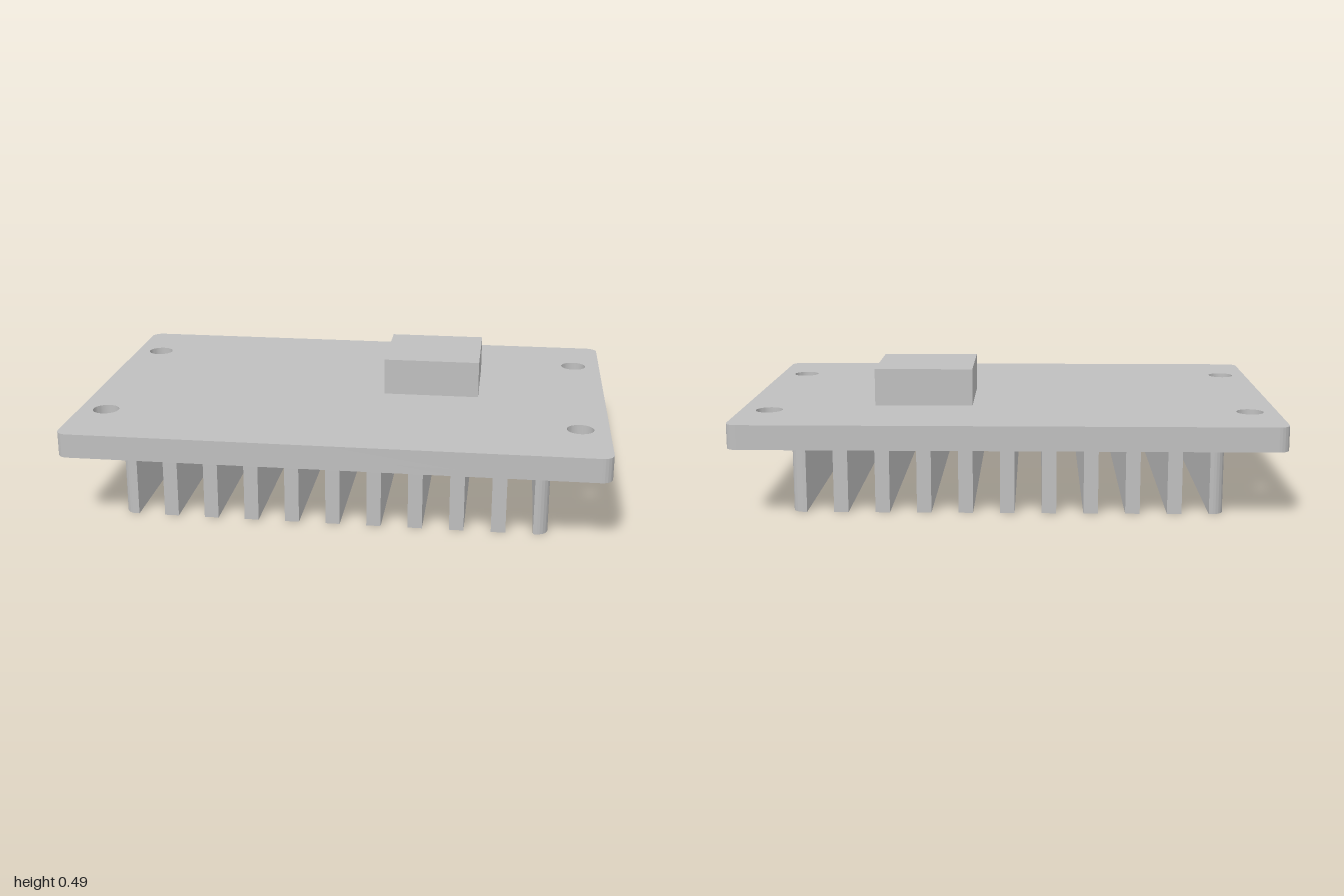
import * as THREE from 'three';
import { toCreasedNormals } from 'three/addons/utils/BufferGeometryUtils.js';

const metal = new THREE.MeshStandardMaterial({ name: 'grey metal', color: 0xbfbfbf });

// Rectangle outline in plan, with separate radii for the left and right corners
function outline(x0, x1, z0, z1, rLeft, rRight) {
  const s = new THREE.Shape();
  const corner = (x, y, r, from) => {
    if (r > 0) s.absarc(x, y, r, from, from + Math.PI / 2, false);
    else s.lineTo(x, y);
  };
  s.moveTo(x0 + rLeft, -z1);
  corner(x1 - rRight, -z1 + rRight, rRight, -Math.PI / 2);
  corner(x1 - rRight, -z0 - rRight, rRight, 0);
  corner(x0 + rLeft, -z0 - rLeft, rLeft, Math.PI / 2);
  corner(x0 + rLeft, -z1 + rLeft, rLeft, Math.PI);
  return s;
}

// Raises a plan outline from y0 to y1
function slab(name, shape, y0, y1) {
  const geo = new THREE.ExtrudeGeometry(shape, { depth: y1 - y0, bevelEnabled: false, curveSegments: 16 });
  geo.rotateX(-Math.PI / 2).translate(0, y0, 0);
  const mesh = new THREE.Mesh(toCreasedNormals(geo, 0.6), metal);
  mesh.name = name;
  return mesh;
}

export function createModel() {
  const model = new THREE.Group();
  model.name = 'heatSink';

  // Base plate with four through holes
  const plate = outline(-1, 1, -0.677, 0.677, 0.042, 0.042);
  for (const x of [-0.897, 0.893]) {
    for (const z of [-0.403, 0.387]) {
      plate.holes.push(new THREE.Path().absarc(x, -z, 0.05, 0, Math.PI * 2, true));
    }
  }
  model.add(slab('basePlate', plate, 0.26, 0.35));

  // Cooling fins; the two end fins have rounded outer corners
  const fins = new THREE.Group();
  fins.name = 'fins';
  const count = 11, width = 0.053, reach = 0.788;
  for (let i = 0; i < count; i++) {
    const x = -reach + i * (2 * reach - width) / (count - 1);
    const shape = outline(x, x + width, -0.558, 0.558, i === 0 ? 0.042 : 0, i === count - 1 ? 0.042 : 0);
    fins.add(slab('fin', shape, 0, 0.26));
  }
  model.add(fins);

  // Raised contact block
  model.add(slab('contactBlock', outline(0.138, 0.508, -0.308, 0.062, 0, 0), 0.35, 0.49));

  return model;
}
